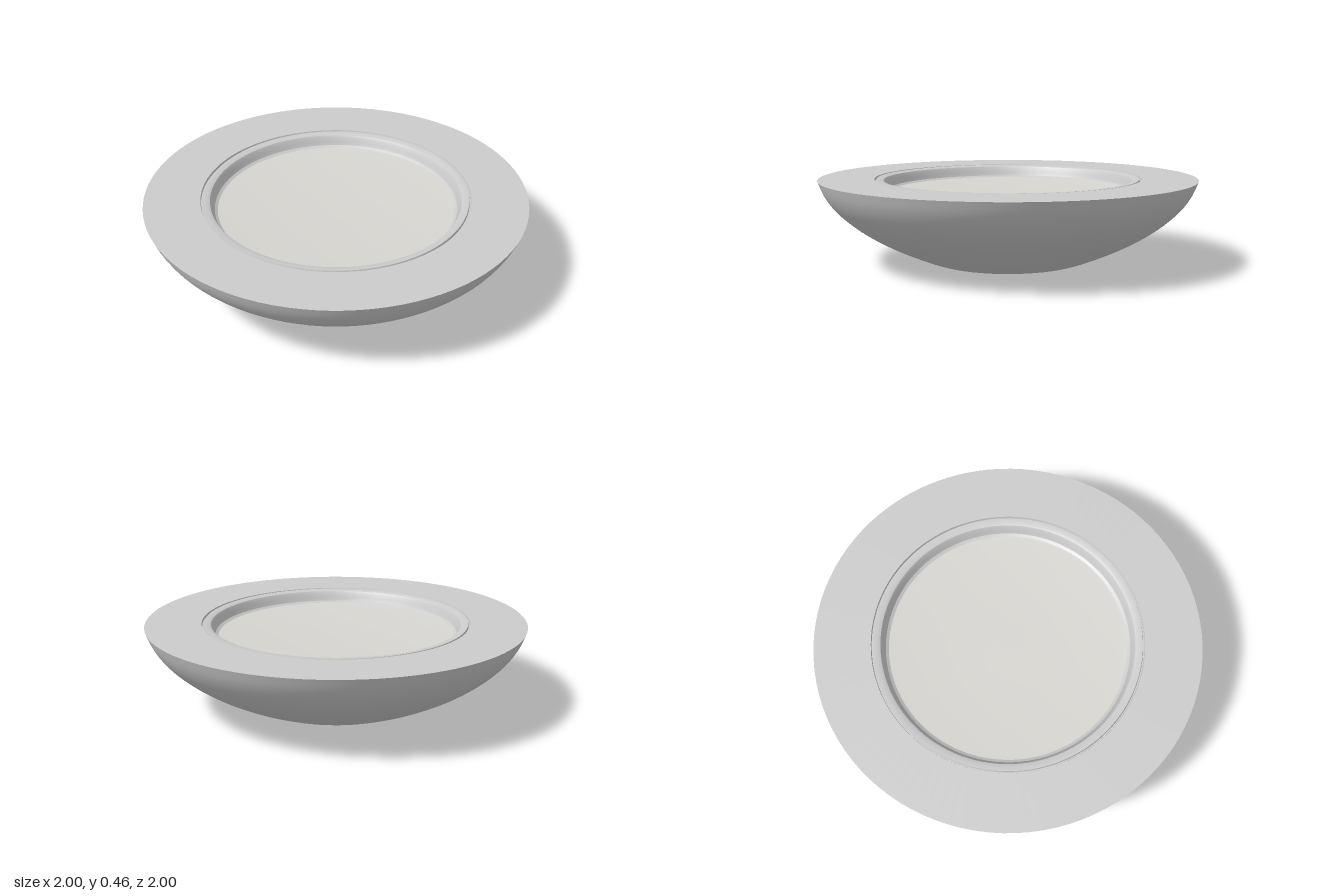
import * as THREE from 'three';
import { toCreasedNormals } from 'three/addons/utils/BufferGeometryUtils.js';

const SEGMENTS = 96;
const RIM_Y = 0.455;

const points = (list) => list.map(([r, y]) => new THREE.Vector2(r, y));

// Profiles run from the underside outwards, over the rim and back to the centre.
function turned(name, profile, color) {
  const geometry = toCreasedNormals(new THREE.LatheGeometry(profile, SEGMENTS), 0.5);
  const material = new THREE.MeshStandardMaterial({ color, side: THREE.DoubleSide });
  const mesh = new THREE.Mesh(geometry, material);
  mesh.name = name;
  return mesh;
}

export function createModel() {
  const group = new THREE.Group();
  group.name = 'shallowDish';

  // Curved outside with a flat foot
  const curve = new THREE.SplineCurve(points([
    [0.35, 0.002], [0.41, 0.016], [0.5, 0.05], [0.62, 0.103], [0.74, 0.168],
    [0.84, 0.238], [0.92, 0.313], [0.97, 0.385], [1, RIM_Y],
  ]));
  group.add(turned('bowl', [...points([[0, 0], [0.33, 0]]), ...curve.getPoints(32)], 0xcccccc));

  // Broad flat rim, ending in a fine groove
  group.add(turned('rim', points([
    [1, RIM_Y], [0.706, RIM_Y], [0.703, RIM_Y - 0.012], [0.697, RIM_Y - 0.012],
  ]), 0xcccccc));

  // Narrow lip ring with a rounded inner edge and the wall of the recess
  group.add(turned('lipRing', points([
    [0.697, RIM_Y - 0.012], [0.694, RIM_Y - 0.001], [0.67, RIM_Y - 0.002], [0.657, RIM_Y - 0.007],
    [0.65, RIM_Y - 0.018], [0.643, RIM_Y - 0.04], [0.635, RIM_Y - 0.058], [0.62, RIM_Y - 0.067],
  ]), 0xcccccc));

  // Sunken floor
  group.add(turned('floor', points([
    [0.62, RIM_Y - 0.067], [0.59, RIM_Y - 0.07], [0, RIM_Y - 0.07],
  ]), 0xd6d5d0));

  return group;
}
